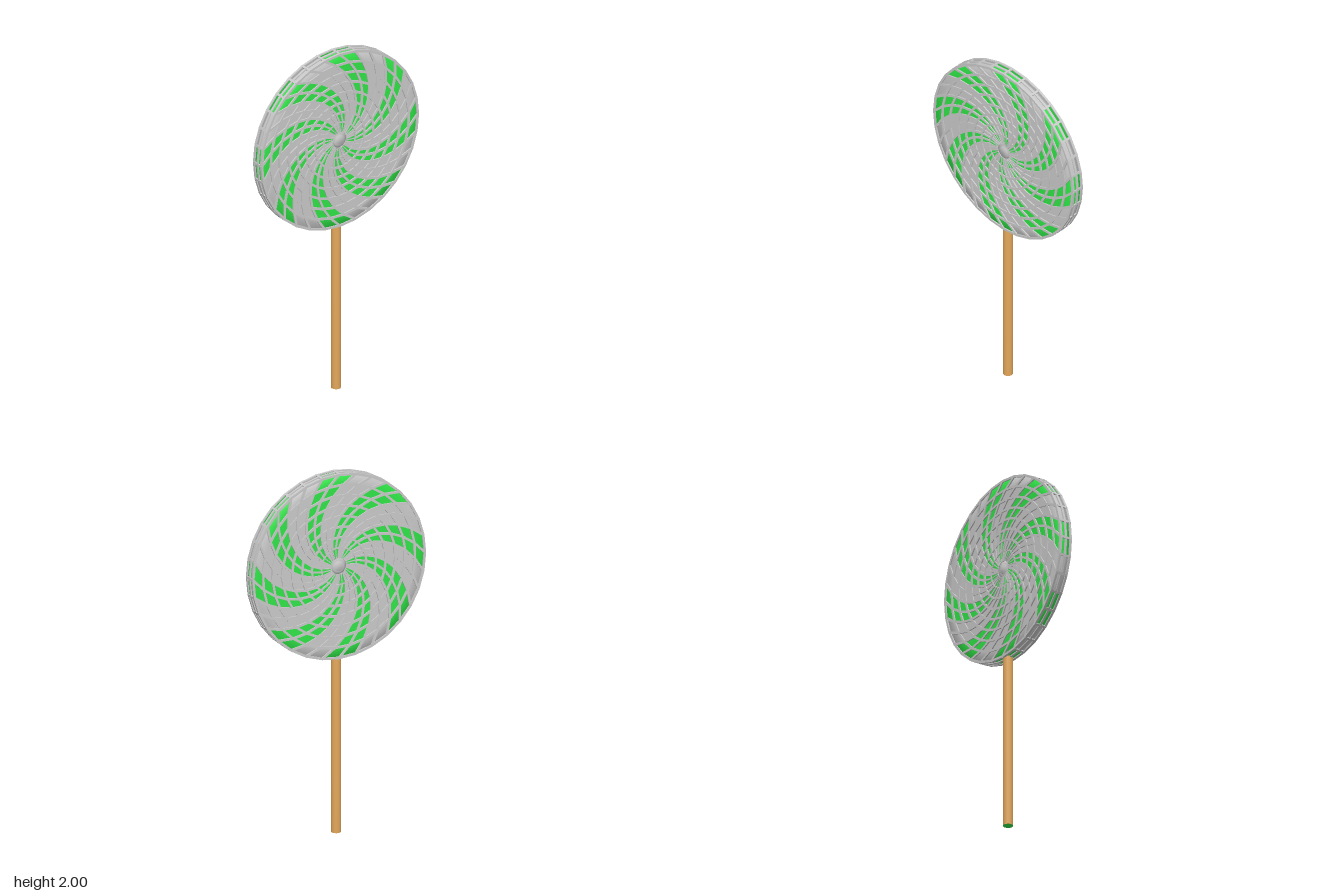
import * as THREE from 'three';
import { mergeGeometries } from 'three/addons/utils/BufferGeometryUtils.js';

const SEG = 32, RINGS = 9, R = 0.509, STEP = 0.058, HALF = 0.031, CENTRE_Y = 1.485;
const TWIST = 2.4; // swirl in radians per unit of radius
const mat = (color) => new THREE.MeshStandardMaterial({ color });

// Rows of the disc: front centre to rim, across the rim, rim to back centre
const rows = [];
for (let j = RINGS - 1; j >= 0; j--) rows.push([R - j * STEP, HALF]);
rows.push([R, 0]);
for (let j = 0; j < RINGS; j++) rows.push([R - j * STEP, -HALF]);

function point(j, i) {
  const [r, z] = rows[j];
  const a = Math.PI / 2 + ((i - 1) * 2 * Math.PI) / SEG + TWIST * (r - R);
  return new THREE.Vector3(r * Math.cos(a), r * Math.sin(a), z);
}

// Panels share one smooth vertex grid; the index is split by colour
function panels() {
  const pos = [], all = [], green = [], grey = [];
  rows.forEach((_, j) => {
    for (let i = 0; i < SEG; i++) pos.push(...point(j, i).toArray());
  });
  for (let j = 0; j < rows.length - 1; j++) {
    for (let i = 0; i < SEG; i++) {
      const n = (i + 1) % SEG;
      const a = j * SEG + i, b = a + SEG, c = (j + 1) * SEG + n, d = j * SEG + n;
      const quad = [a, b, c, a, c, d];
      all.push(...quad);
      (i % 4 < 2 ? green : grey).push(...quad);
    }
  }
  const geo = new THREE.BufferGeometry();
  geo.setAttribute('position', new THREE.Float32BufferAttribute(pos, 3));
  geo.setIndex(all);
  geo.computeVertexNormals();
  return [green, grey].map((index) => {
    const g = geo.clone();
    g.setIndex(index);
    return g;
  });
}

// Square bar between two points
function bar(a, b, up, w) {
  const geo = new THREE.BoxGeometry(w, w, a.distanceTo(b) + w * 0.5);
  const m = new THREE.Matrix4().lookAt(a, b, up);
  m.setPosition(a.clone().add(b).multiplyScalar(0.5));
  return geo.applyMatrix4(m);
}

// Lattice of bars along every panel edge, finer towards the centre
function lattice() {
  const bars = [];
  const width = (r) => Math.min(0.013, r * 0.075);
  const zAxis = new THREE.Vector3(0, 0, 1);
  for (let j = 0; j < rows.length; j++) {
    for (let i = 0; i < SEG; i++) {
      const p = point(j, i);
      bars.push(bar(p, point(j, i + 1), zAxis, width(rows[j][0])));
      if (j === rows.length - 1) continue;
      const onRim = rows[j][0] === R && rows[j + 1][0] === R;
      const up = onRim ? new THREE.Vector3(p.x, p.y, 0).normalize() : zAxis;
      bars.push(bar(p, point(j + 1, i), up, width((rows[j][0] + rows[j + 1][0]) / 2)));
    }
  }
  return mergeGeometries(bars);
}

export function createModel() {
  const model = new THREE.Group();
  model.name = 'lollipop';
  const add = (parent, name, geo, material) => {
    const mesh = new THREE.Mesh(geo, material);
    mesh.name = name;
    parent.add(mesh);
    return mesh;
  };
  const green = mat(0x30e848), grey = mat(0xcccccc);

  // Candy disc
  const candy = new THREE.Group();
  candy.name = 'candy';
  candy.position.y = CENTRE_Y;
  model.add(candy);
  const [greenGeo, greyGeo] = panels();
  add(candy, 'greenSwirl', greenGeo, green);
  add(candy, 'greySwirl', greyGeo, grey);
  add(candy, 'lattice', lattice(), grey);

  // Hub: small button inside a groove, on both faces
  const half = [[0.045, 0.031], [0.032, 0.022], [0.026, 0.033], [0, 0.034]];
  const profile = [...half.map(([r, z]) => [r, -z]).reverse(), ...half];
  const hub = new THREE.LatheGeometry(profile.map(([r, z]) => new THREE.Vector2(r, z)), SEG);
  add(candy, 'hub', hub.rotateX(Math.PI / 2), grey);

  // Stick, softly shaded towards its foot, with a green end
  const stick = [[0, 0.01], [0.027, 0], [0.027, 1]].map(([r, y]) => new THREE.Vector2(r, y));
  add(model, 'stick', new THREE.LatheGeometry(stick, 16), mat(0xe6a95c));
  add(model, 'stickEnd', new THREE.CircleGeometry(0.027, 16).rotateX(Math.PI / 2), green);

  return model;
}
